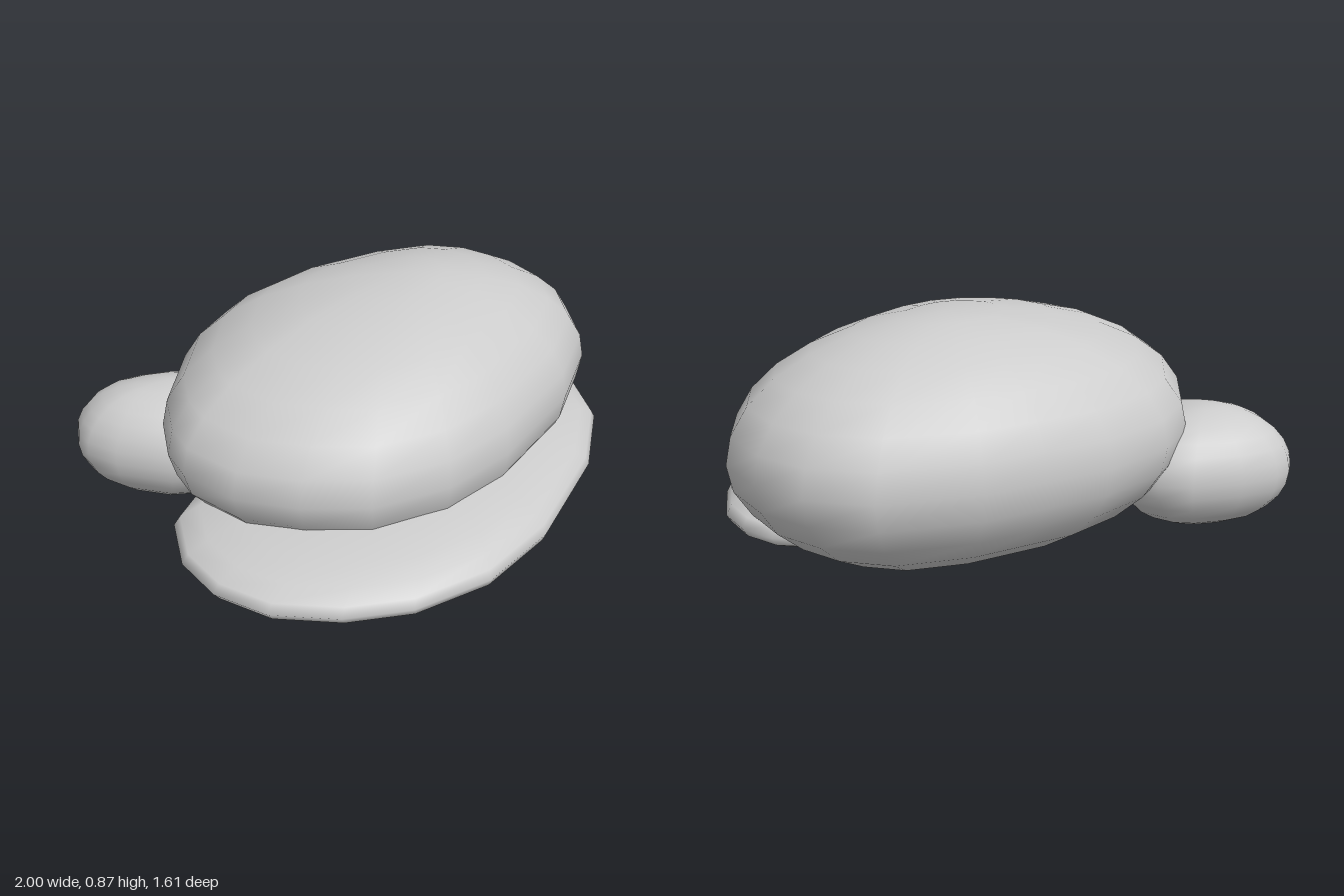
import * as THREE from 'three';

// Rounded pebble: a plan outline [x, z] shrinks towards a top and bottom apex along an ellipse.
function pebble(name, outline, apex, midY, halfHeight, material, rings = 14) {
  const n = outline.length;
  const positions = [];
  const index = [];
  positions.push(apex[0], midY - halfHeight, apex[1]);
  for (let j = 1; j < rings; j++) {
    const a = -Math.PI / 2 + (j / rings) * Math.PI;
    const s = Math.cos(a);
    for (const [x, z] of outline) {
      positions.push(
        apex[0] + (x - apex[0]) * s,
        midY + halfHeight * Math.sin(a),
        apex[1] + (z - apex[1]) * s
      );
    }
  }
  positions.push(apex[0], midY + halfHeight, apex[1]);
  const last = positions.length / 3 - 1;
  const at = (j, i) => 1 + j * n + (i % n);
  for (let i = 0; i < n; i++) {
    index.push(0, at(0, i), at(0, i + 1));
    for (let j = 0; j < rings - 2; j++) {
      index.push(at(j, i), at(j + 1, i), at(j, i + 1));
      index.push(at(j, i + 1), at(j + 1, i), at(j + 1, i + 1));
    }
    index.push(at(rings - 2, i), last, at(rings - 2, i + 1));
  }
  const geometry = new THREE.BufferGeometry();
  geometry.setAttribute('position', new THREE.Float32BufferAttribute(positions, 3));
  geometry.setIndex(index);
  geometry.computeVertexNormals();
  const mesh = new THREE.Mesh(geometry, material);
  mesh.name = name;
  return mesh;
}

export function createModel() {
  const model = new THREE.Group();
  model.name = 'roundedCap';
  const grey = new THREE.MeshStandardMaterial({ color: 0xcccccc });
  grey.name = 'lightGrey';

  // Large egg-shaped crown
  model.add(pebble('crown', [
    [-0.1, -0.81], [0.15, -0.81], [0.38, -0.81], [0.71, -0.73], [0.89, -0.58],
    [0.98, -0.4], [1.0, -0.18], [0.9, 0.05], [0.65, 0.27], [0.24, 0.48],
    [-0.05, 0.55], [-0.34, 0.52], [-0.55, 0.4], [-0.72, 0.24], [-0.81, 0.02],
    [-0.81, -0.12], [-0.75, -0.32], [-0.56, -0.6], [-0.38, -0.73]
  ], [0.2, -0.2], 0.44, 0.435, grey));

  // Flat brim wrapping the front
  model.add(pebble('brim', [
    [-0.7, -0.15], [-0.3, -0.24], [0.2, -0.3], [0.6, -0.38], [0.79, -0.39],
    [0.9, -0.31], [0.96, -0.19], [0.97, -0.05], [0.9, 0.16], [0.67, 0.42],
    [0.27, 0.69], [-0.04, 0.8], [-0.34, 0.8], [-0.57, 0.72], [-0.77, 0.58],
    [-0.88, 0.4], [-0.91, 0.2], [-0.85, -0.02]
  ], [0.1, 0.2], 0.21, 0.15, grey));

  // Small round knob at the back
  model.add(pebble('rearKnob', [
    [-1.0, -0.6], [-0.97, -0.7], [-0.91, -0.76], [-0.83, -0.79], [-0.68, -0.78],
    [-0.5, -0.73], [-0.4, -0.66], [-0.34, -0.55], [-0.37, -0.4], [-0.48, -0.26],
    [-0.62, -0.19], [-0.76, -0.25], [-0.92, -0.4], [-0.99, -0.52]
  ], [-0.71, -0.52], 0.268, 0.226, grey));

  return model;
}
